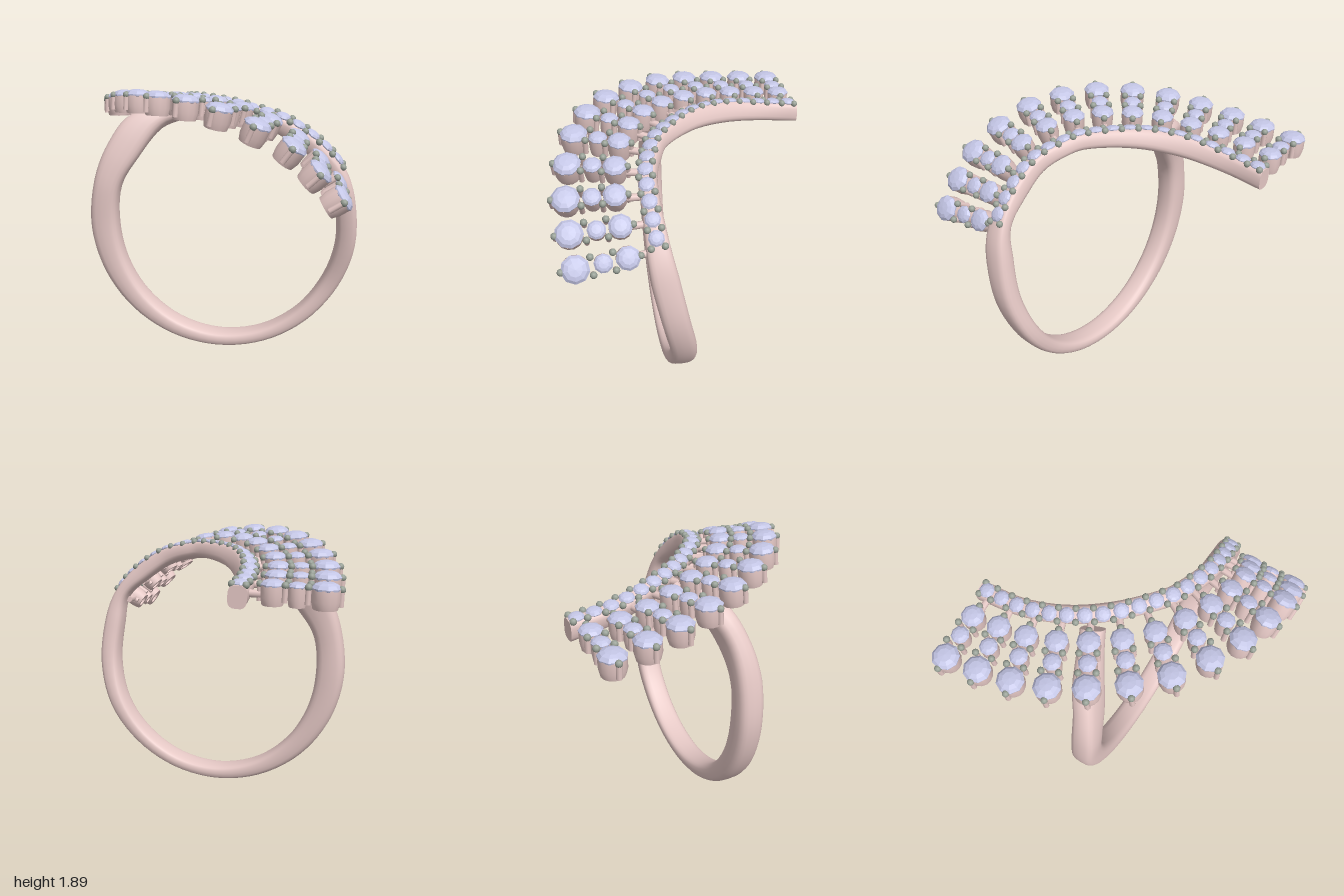
import * as THREE from 'three';
import { toCreasedNormals } from 'three/addons/utils/BufferGeometryUtils.js';

const V = (x, y, z) => new THREE.Vector3(x, y, z);
const UP = V(0, 1, 0);
const metal = new THREE.MeshStandardMaterial({ color: 0xe6c9c6 });
const stone = new THREE.MeshStandardMaterial({ color: 0xc4c6e6, flatShading: true });
const bead = new THREE.MeshStandardMaterial({ color: 0x98a096 });

// Band stations as an outer point, an inner point and a half width
const station = (s, half) => ({ p: V(s[0], s[1], s[2]), q: V(s[3], s[4], s[5]), half });

// Left branch, rising back under the spine
const branch = [
  [-0.30, 1.74, -0.14, -0.22, 1.64, -0.14],
  [-0.62, 1.66, -0.02, -0.40, 1.58, -0.02],
  [-0.77, 1.48, 0.07, -0.56, 1.37, 0.07],
].map(s => station(s, 0.08));

// Finger hoop: thickest at the left, thinnest below, leaning forward at the right
const hoop = Array.from({ length: 11 }, (_, i) => {
  const a = THREE.MathUtils.degToRad(164 + 21 * i), c = Math.cos(a), s = Math.sin(a);
  const thick = 0.1 + 0.07 * c * c - 0.03 * c;
  const z = 0.11 + (c > 0 ? 0.14 * THREE.MathUtils.smoothstep(s, -0.6, 0.35) : 0);
  const at = r => [0.045 + r * c, 0.95 + r * s, z];
  return station([...at(0.952), ...at(0.952 - thick)], 0.09);
});

// Spine sweeping over the finger and away to the back
const spine = [
  [0.88, 1.40, 0.28, 0.80, 1.34, 0.27],
  [0.71, 1.58, 0.30, 0.64, 1.48, 0.27],
  [0.50, 1.71, 0.30, 0.46, 1.60, 0.27],
  [0.30, 1.76, 0.25, 0.28, 1.66, 0.21],
  [0.13, 1.79, 0.17, 0.13, 1.68, 0.13],
  [-0.15, 1.79, -0.08, -0.08, 1.67, -0.10],
  [-0.31, 1.76, -0.35, -0.24, 1.63, -0.35],
  [-0.38, 1.71, -0.63, -0.34, 1.58, -0.63],
  [-0.39, 1.68, -0.92, -0.38, 1.54, -0.92],
].map((s, i) => station(s, i ? 0.06 : 0.075));

const BAND = [...branch, ...hoop, ...spine];
const SPINE_START = branch.length + hoop.length;
const LAST = BAND.length - 1;
const through = pts => new THREE.CatmullRomCurve3(pts, false, 'catmullrom');
const outer = through(BAND.map(s => s.p));
const inner = through(BAND.map(s => s.q));

// Rounded-rectangle sections lofted between the outer and inner curves
function bandGeometry() {
  const rings = 110, sides = 20, pos = [], idx = [];
  const soft = v => Math.sign(v) * Math.abs(v) ** 0.65;
  for (let i = 0; i <= rings; i++) {
    const t = i / rings, p = outer.getPoint(t), q = inner.getPoint(t);
    const k = Math.min(Math.floor(t * LAST), LAST - 1);
    const half = THREE.MathUtils.lerp(BAND[k].half, BAND[k + 1].half, t * LAST - k);
    const h = p.clone().sub(q).multiplyScalar(0.5);
    const w = outer.getTangent(t).cross(h).setLength(half);
    const c = p.clone().add(q).multiplyScalar(0.5);
    for (let j = 0; j < sides; j++) {
      const a = j / sides * Math.PI * 2;
      const v = c.clone().addScaledVector(w, soft(Math.cos(a))).addScaledVector(h, soft(Math.sin(a)));
      pos.push(v.x, v.y, v.z);
    }
  }
  for (let i = 0; i < rings; i++) for (let j = 0; j < sides; j++) {
    const a = i * sides + j, b = i * sides + (j + 1) % sides, c = a + sides, d = b + sides;
    idx.push(a, c, b, b, c, d);
  }
  const end = rings * sides;
  for (let j = 1; j < sides - 1; j++) idx.push(0, j, j + 1, end, end + j + 1, end + j);
  const g = new THREE.BufferGeometry();
  g.setAttribute('position', new THREE.Float32BufferAttribute(pos, 3));
  g.setIndex(idx);
  return toCreasedNormals(g, 0.7);
}

const lathe = (pts, n) => new THREE.LatheGeometry(pts.map(p => new THREE.Vector2(...p)), n);
const gemGeo = lathe([[0, -0.6], [0.98, -0.06], [1, 0.06], [0.8, 0.28], [0.5, 0.4], [0, 0.44]], 9);
const cupGeo = toCreasedNormals(
  lathe([[0.82, -1], [0.95, -0.6], [0.95, 0], [0.7, 0], [0.5, -1], [0.82, -1]], 14), 0.6);
const beadGeo = new THREE.SphereGeometry(0.023, 10, 8);
const rodGeo = new THREE.CylinderGeometry(1, 1, 1, 8);

function add(parent, name, geo, mat, at) {
  const m = new THREE.Mesh(geo, mat);
  m.name = name;
  m.position.copy(at);
  parent.add(m);
  return m;
}

function rod(parent, name, a, b, r) {
  const d = b.clone().sub(a), m = add(parent, name, rodGeo, metal, a.clone().add(b).multiplyScalar(0.5));
  m.scale.set(r, d.length(), r);
  m.quaternion.setFromUnitVectors(UP, d.normalize());
}

function gem(parent, at, normal, r, spin) {
  const m = add(parent, 'gem', gemGeo, stone, at);
  m.quaternion.setFromUnitVectors(UP, normal);
  m.rotateY(spin);
  m.scale.setScalar(r);
}

// Bead on top of a short claw
function prong(parent, at, normal) {
  add(parent, 'prongTip', beadGeo, bead, at);
  rod(parent, 'prongClaw', at, at.clone().addScaledVector(normal, -0.1), 0.018);
}

// Curves through the first and last gem of the rows, from back to front
const ROWS = 13;
const rowStarts = through([
  V(-0.58, 1.68, -0.84), V(-0.53, 1.73, -0.46), V(-0.38, 1.79, -0.09), V(-0.12, 1.82, 0.23),
  V(0.23, 1.79, 0.43), V(0.60, 1.62, 0.50), V(0.86, 1.33, 0.46)]);
const rowEnds = through([
  V(-0.89, 1.67, -0.83), V(-0.82, 1.73, -0.38), V(-0.64, 1.81, 0.06), V(-0.32, 1.85, 0.46),
  V(0.12, 1.81, 0.71), V(0.58, 1.61, 0.80), V(0.88, 1.30, 0.78)]);

function gemRow(i) {
  const g = new THREE.Group();
  g.name = 'gemRow';
  const a = rowStarts.getPoint(i / (ROWS - 1)), b = rowEnds.getPoint(i / (ROWS - 1));
  const dir = b.clone().sub(a).normalize();
  // Rows lean with the curve of the finger at the right
  const tilt = a.x > 0 ? Math.asin(a.x / 1.02) : a.x * 0.3;
  const n = V(Math.sin(tilt), Math.cos(tilt), 0);
  n.addScaledVector(dir, -n.dot(dir)).normalize();
  const side = dir.clone().cross(n);
  const on = (t, off, up) => a.clone().lerp(b, t).addScaledVector(side, off).addScaledVector(n, up);

  [[0, 0.077], [0.47, 0.06], [1, 0.09]].forEach(([t, r], k) => {
    gem(g, on(t, 0, 0), n, r, i * 1.3 + k);
    const cup = add(g, 'gemCup', cupGeo, metal, on(t, 0, 0));
    cup.quaternion.setFromUnitVectors(UP, n);
    cup.scale.set(r, 0.12, r);
  });
  // Prongs flank each joint and close both ends
  for (const t of [0.26, 0.69]) for (const o of [-0.055, 0.055]) prong(g, on(t, o, 0.01), n);
  prong(g, b.clone().addScaledVector(dir, 0.088), n);
  prong(g, a.clone().addScaledVector(dir, -0.078), n);
  // Rod joining the row to the spine
  const root = on(0, 0, -0.06).addScaledVector(dir, -0.19);
  rod(g, 'rowSupport', on(0, 0, -0.06).addScaledVector(dir, -0.04), root, 0.024);
  return g;
}

// Line of small gems set along the top of the spine
function spineGems() {
  const g = new THREE.Group();
  g.name = 'spineGems';
  const line = through(spine.map(s => s.p));
  const count = 19;
  const frame = u => {
    const t = (SPINE_START + line.getUtoTmapping(u) * (LAST - SPINE_START)) / LAST;
    const p = outer.getPoint(t), tan = outer.getTangent(t);
    const n = p.clone().sub(inner.getPoint(t)).normalize().lerp(UP, 0.3);
    n.addScaledVector(tan, -n.dot(tan)).normalize();
    return { p, n, side: tan.cross(n) };
  };
  for (let i = 0; i < count; i++) {
    const f = frame((i + 0.5) / count);
    gem(g, f.p, f.n, 0.052, i);
  }
  for (let i = 0; i <= count; i++) {
    const f = frame(Math.min(i / count, 0.99));
    for (const o of [-0.043, 0.043]) add(g, 'prongTip', beadGeo, bead, f.p.clone().addScaledVector(f.side, o));
  }
  return g;
}

export function createModel() {
  const model = new THREE.Group();
  model.name = 'ring';
  add(model, 'band', bandGeometry(), metal, V(0, 0, 0));
  model.add(spineGems());
  for (let i = 0; i < ROWS; i++) model.add(gemRow(i));
  return model;
}
